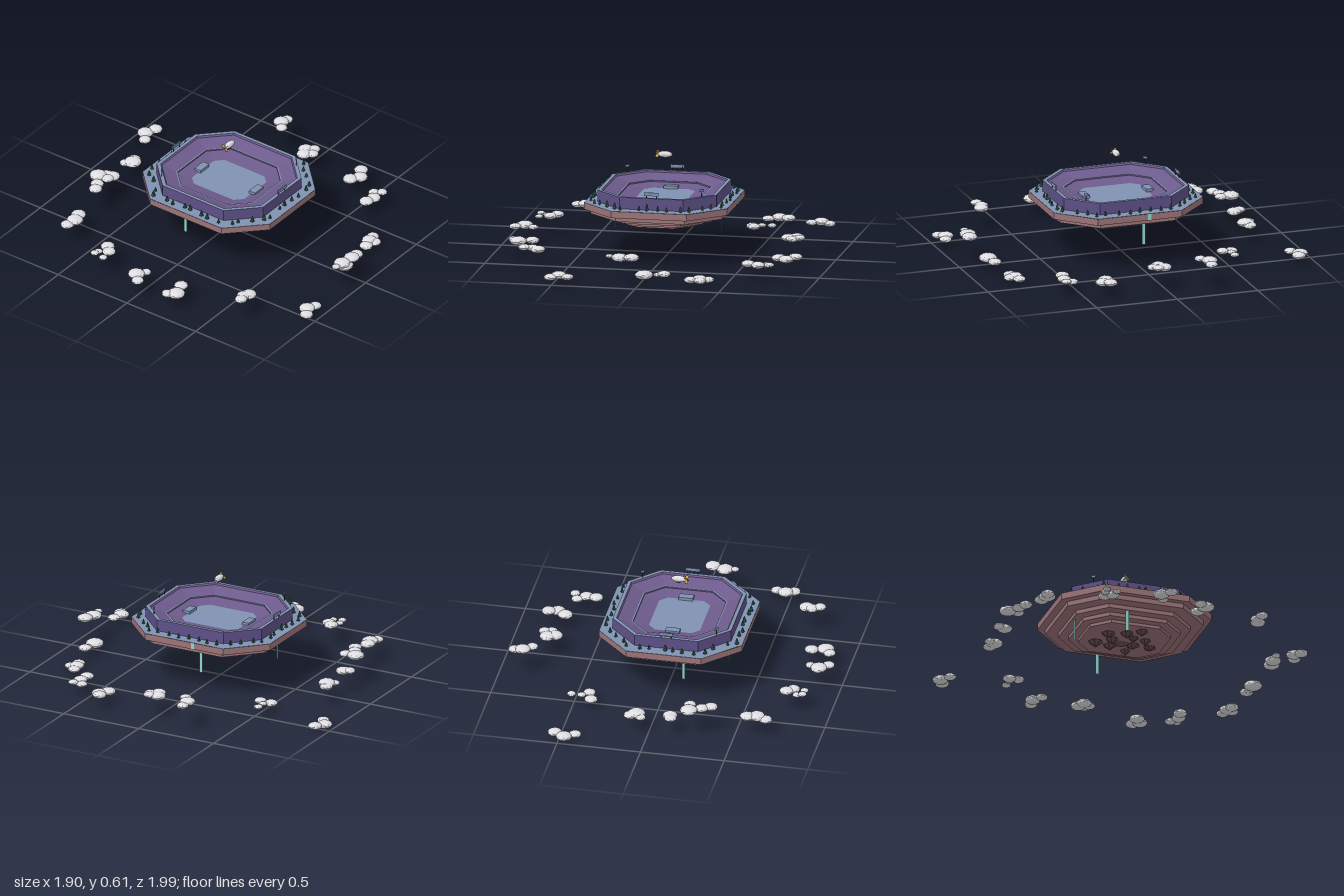
import * as THREE from 'three';

const mat = (color) => new THREE.MeshStandardMaterial({ color, flatShading: true });
const stone = mat(0x9a7377), paving = mat(0x7f92b2), purple = mat(0x5c4f86), seats = mat(0x6d5b8c),
  white = mat(0xdddde2), leaf = mat(0x2f5a4a), bark = mat(0x5a4638), water = mat(0x8fd6cc),
  gold = mat(0xc9a24a), dark = mat(0x3a3a4c), rock = mat(0x6b4c50);
water.side = THREE.DoubleSide;

let seed = 7;
const rand = () => (seed = (seed * 16807) % 2147483647) / 2147483647;

function add(parent, name, geometry, material, x = 0, y = 0, z = 0) {
  const m = new THREE.Mesh(geometry, material);
  m.name = name;
  m.position.set(x, y, z);
  parent.add(m);
  return m;
}

// Rectangle with cut corners, in x and z
const octagon = (hx, hz, c) => [
  [hx, -hz + c], [hx, hz - c], [hx - c, hz], [-hx + c, hz],
  [-hx, hz - c], [-hx, -hz + c], [-hx + c, -hz], [hx - c, -hz]];

// Skin through octagon rings [halfX, halfZ, cut, y]
function loft(rings) {
  const pos = [];
  for (let r = 0; r < rings.length - 1; r++) {
    const [a, b] = [rings[r], rings[r + 1]].map(([hx, hz, c, y]) => octagon(hx, hz, c).map(([x, z]) => [x, y, z]));
    for (let i = 0; i < 8; i++) {
      const j = (i + 1) % 8;
      if (rings[r][0] > 0) pos.push(...a[i], ...b[i], ...a[j]);
      if (rings[r + 1][0] > 0) pos.push(...a[j], ...b[i], ...b[j]);
    }
  }
  const g = new THREE.BufferGeometry();
  g.setAttribute('position', new THREE.Float32BufferAttribute(pos, 3));
  g.computeVertexNormals();
  return g;
}

function buildIsland(parent) {
  // Terraced underside, widest at the top
  const tiers = [[0.428, 0.463, 0.315], [0.393, 0.42, 0.285], [0.32, 0.353, 0.26], [0.262, 0.3, 0.237], [0.212, 0.25, 0.218]];
  const rings = [[0, 0, 0, 0.218]];
  let top = 0.355;
  const sides = tiers.map(([hx, hz, y]) => {
    const side = [[hx, hz, hx * 0.475, y], [hx, hz, hx * 0.475, top]];
    top = y;
    return side;
  });
  sides.reverse().forEach((s) => rings.push(...s));
  add(parent, 'islandTerraces', loft(rings), stone);
  add(parent, 'islandTop', loft([[0.428, 0.463, 0.203, 0.3555], [0, 0, 0, 0.3555]]), paving);
  // Hanging rocks
  for (let i = 0; i < 12; i++) {
    const a = i * 2.4, d = 0.05 + 0.012 * i, h = 0.025 + rand() * 0.015;
    const m = add(parent, 'hangingRock', new THREE.ConeGeometry(0.03 + rand() * 0.02, h, 6), rock,
      Math.cos(a) * d, 0.22 - h / 2, Math.sin(a) * d);
    m.rotation.x = Math.PI;
  }
}

function buildStadium(parent) {
  add(parent, 'outerWall', loft([[0.355, 0.387, 0.165, 0.355], [0.355, 0.387, 0.165, 0.425]]), purple);
  add(parent, 'wallRim', loft([[0.355, 0.387, 0.165, 0.425], [0.334, 0.366, 0.155, 0.425]]), paving);
  add(parent, 'upperSeating', loft([[0.334, 0.366, 0.155, 0.425], [0.328, 0.36, 0.152, 0.415], [0.252, 0.278, 0.107, 0.386]]), seats);
  add(parent, 'walkway', loft([[0.252, 0.278, 0.107, 0.386], [0.244, 0.27, 0.103, 0.386]]), paving);
  add(parent, 'lowerSeating', loft([[0.244, 0.27, 0.103, 0.386], [0.244, 0.27, 0.103, 0.378], [0.153, 0.19, 0.045, 0.36]]), seats);
  add(parent, 'field', loft([[0.154, 0.191, 0.045, 0.36], [0, 0, 0, 0.36]]), paving);
  for (const s of [-1, 1]) {
    add(parent, 'tunnel', new THREE.BoxGeometry(0.085, 0.02, 0.045), paving, 0, 0.368, s * 0.198);
    // Scoreboards over both ends
    add(parent, 'scoreboard', new THREE.BoxGeometry(0.085, 0.02, 0.006), paving, 0, 0.45, s * 0.385);
    for (const x of [-0.03, 0.03])
      add(parent, 'scoreboardPost', new THREE.BoxGeometry(0.004, 0.03, 0.004), dark, x, 0.435, s * 0.382);
    // Floodlights on opposite corners
    add(parent, 'floodlightPost', new THREE.CylinderGeometry(0.002, 0.003, 0.05, 6), dark, s * 0.28, 0.44, s * 0.283);
    const lamp = add(parent, 'floodlight', new THREE.BoxGeometry(0.026, 0.014, 0.006), paving, s * 0.28, 0.464, s * 0.283);
    lamp.rotation.y = Math.PI / 4;
  }
}

function buildTrees(parent) {
  const path = new THREE.Shape(octagon(0.395, 0.427, 0.185).map(([x, z]) => new THREE.Vector2(x, z)));
  path.closePath();
  const cone = new THREE.ConeGeometry(0.012, 0.024, 6), tip = new THREE.ConeGeometry(0.009, 0.02, 6);
  const trunk = new THREE.CylinderGeometry(0.003, 0.003, 0.01, 5), count = 42;
  for (let i = 0; i < count; i++) {
    const p = path.getPointAt((i + 0.6 * rand()) / count);
    const tree = new THREE.Group();
    tree.name = 'tree';
    tree.position.set(p.x + (rand() - 0.5) * 0.02, 0.355, p.y + (rand() - 0.5) * 0.02);
    tree.scale.setScalar(0.75 + rand() * 0.4);
    add(tree, 'trunk', trunk, bark, 0, 0.005, 0);
    add(tree, 'foliage', cone, leaf, 0, 0.019, 0);
    add(tree, 'foliageTip', tip, leaf, 0, 0.031, 0);
    parent.add(tree);
  }
}

function buildBlimp(parent) {
  const blimp = new THREE.Group();
  blimp.name = 'blimp';
  blimp.position.set(-0.018, 0.608, 0.022);
  add(blimp, 'envelope', new THREE.SphereGeometry(1, 14, 10), white).scale.set(0.046, 0.019, 0.019);
  add(blimp, 'gondola', new THREE.BoxGeometry(0.022, 0.008, 0.01), dark, 0.002, -0.021, 0);
  for (let i = 0; i < 4; i++) {
    const arm = new THREE.Group();
    arm.name = 'tailFin';
    arm.rotation.x = Math.PI / 4 + i * Math.PI / 2;
    add(arm, 'fin', new THREE.BoxGeometry(0.018, 0.02, 0.003), gold, -0.046, 0.014, 0).rotation.z = 0.35;
    blimp.add(arm);
  }
  parent.add(blimp);
}

function buildWaterfalls(parent) {
  const fall = (x, y0, y1, z, turn, w = 0.02) => {
    add(parent, 'waterfall', new THREE.PlaneGeometry(w, y1 - y0), water, x, (y0 + y1) / 2, z).rotation.y = turn;
  };
  fall(0.409, 0.315, 0.357, -0.037, Math.PI / 2);
  fall(0.305, 0.135, 0.285, -0.037, Math.PI / 2);
  fall(-0.335, 0.13, 0.285, -0.064, Math.PI / 2);
  fall(-0.115, 0.13, 0.285, -0.315, 0);
}

// One cloud from flattened lumps [x, z, radius]
function cloud(parent, y, lumps) {
  const group = new THREE.Group();
  group.name = 'cloud';
  for (const [x, z, r] of lumps) {
    const m = add(group, 'cloudLump', new THREE.IcosahedronGeometry(r, 1), white, x, y + (rand() - 0.5) * 0.014, z);
    m.scale.y = 0.5;
    m.rotation.y = rand() * 6;
  }
  parent.add(group);
}

function buildClouds(parent) {
  const c = (y, ...lumps) => cloud(parent, y, lumps);
  c(0.04, [0.41, -0.91, 0.037], [0.47, -0.95, 0.048], [0.53, -0.92, 0.042]);
  c(0.075, [0.39, -0.55, 0.04], [0.41, -0.49, 0.037], [0.45, -0.53, 0.025], [0.51, -0.53, 0.027]);
  c(0.18, [0.81, -0.21, 0.035], [0.86, -0.25, 0.047], [0.91, -0.245, 0.037]);
  c(0.145, [0.72, 0.02, 0.045], [0.765, 0, 0.047], [0.79, 0.045, 0.035], [0.75, 0.06, 0.037]);
  c(0.095, [0.73, 0.35, 0.045], [0.78, 0.385, 0.045], [0.83, 0.355, 0.042]);
  c(0.095, [0.59, 0.57, 0.042], [0.65, 0.58, 0.042], [0.7, 0.545, 0.034], [0.72, 0.59, 0.03]);
  c(0.04, [0.29, 0.79, 0.04], [0.34, 0.775, 0.045], [0.35, 0.81, 0.037], [0.39, 0.765, 0.037]);
  c(0.065, [0.02, 0.83, 0.055], [0.1, 0.83, 0.025], [0.14, 0.83, 0.04]);
  c(0.185, [-0.17, 0.91, 0.025], [-0.11, 0.91, 0.05], [-0.035, 0.925, 0.047]);
  c(0.055, [-0.515, 0.95, 0.04], [-0.47, 0.92, 0.047], [-0.415, 0.94, 0.037]);
  c(0.145, [-0.735, 0.635, 0.037], [-0.69, 0.62, 0.04], [-0.655, 0.635, 0.045]);
  c(0.1, [-0.88, 0.21, 0.037], [-0.85, 0.25, 0.052], [-0.77, 0.225, 0.042]);
  c(0.13, [-0.915, 0.015, 0.037], [-0.865, -0.03, 0.05], [-0.81, 0, 0.03]);
  c(0.13, [-0.835, -0.355, 0.025], [-0.8, -0.355, 0.025], [-0.835, -0.295, 0.025], [-0.77, -0.3, 0.04], [-0.735, -0.335, 0.042]);
  c(0.13, [-0.68, -0.67, 0.04], [-0.625, -0.655, 0.05], [-0.57, -0.67, 0.045]);
  c(0.19, [-0.36, -0.7, 0.04], [-0.31, -0.725, 0.04], [-0.24, -0.77, 0.052], [-0.235, -0.705, 0.037]);
  c(0.135, [-0.135, -0.785, 0.037], [-0.125, -0.75, 0.045]);
  c(0.12, [0.045, -0.785, 0.032], [0.075, -0.75, 0.052], [0.11, -0.765, 0.04]);
}

export function createModel() {
  const model = new THREE.Group();
  model.name = 'floatingStadium';
  const island = new THREE.Group();
  island.name = 'island';
  island.position.set(-0.022, 0, 0.022);
  buildIsland(island);
  buildStadium(island);
  buildTrees(island);
  model.add(island);
  buildBlimp(model);
  buildWaterfalls(model);
  buildClouds(model);
  return model;
}
